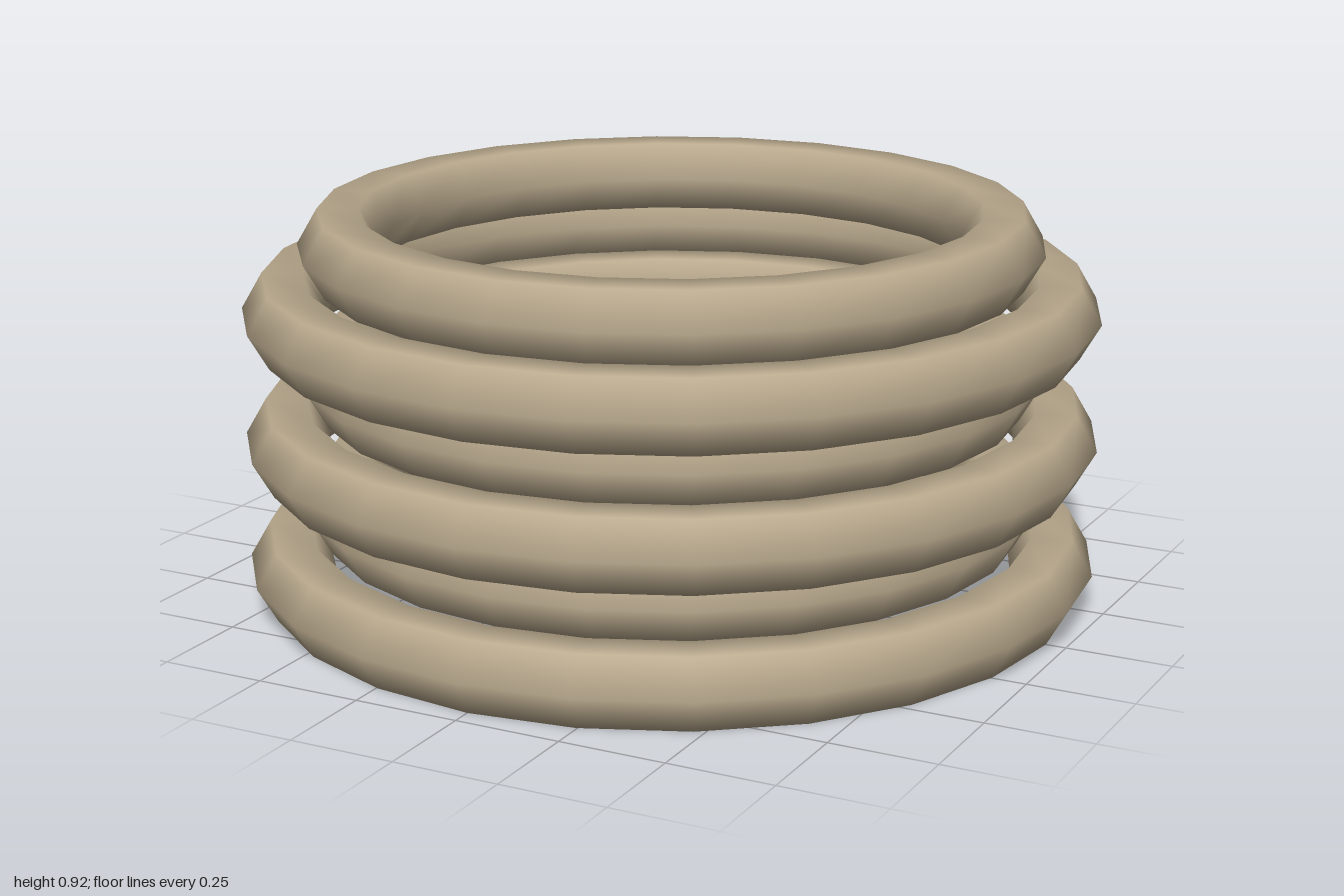
import * as THREE from 'three';

const TUBE = 0.096;      // tube radius of every ring
const SIDES = 6;         // hexagonal tube section
const SEGMENTS = 24;     // steps around each ring
const SPACING = 0.151;   // height between neighbouring rings

export function createModel() {
  const group = new THREE.Group();
  group.name = 'ringStack';
  const material = new THREE.MeshStandardMaterial({ color: 0xb8a88c });

  // Wide and narrow rings alternate from the bottom up
  const wide = new THREE.TorusGeometry(1 - TUBE, TUBE, SIDES, SEGMENTS).rotateX(-Math.PI / 2);
  const narrow = new THREE.TorusGeometry(0.772, TUBE, SIDES, SEGMENTS).rotateX(-Math.PI / 2);
  const base = TUBE * Math.sin(Math.PI / 3); // the flat of the hexagon rests on y = 0

  for (let i = 0; i < 6; i++) {
    const isWide = i % 2 === 0;
    const ring = new THREE.Mesh(isWide ? wide : narrow, material);
    ring.name = (isWide ? 'wideRing' : 'narrowRing') + (Math.floor(i / 2) + 1);
    ring.position.y = base + i * SPACING;
    group.add(ring);
  }
  return group;
}
